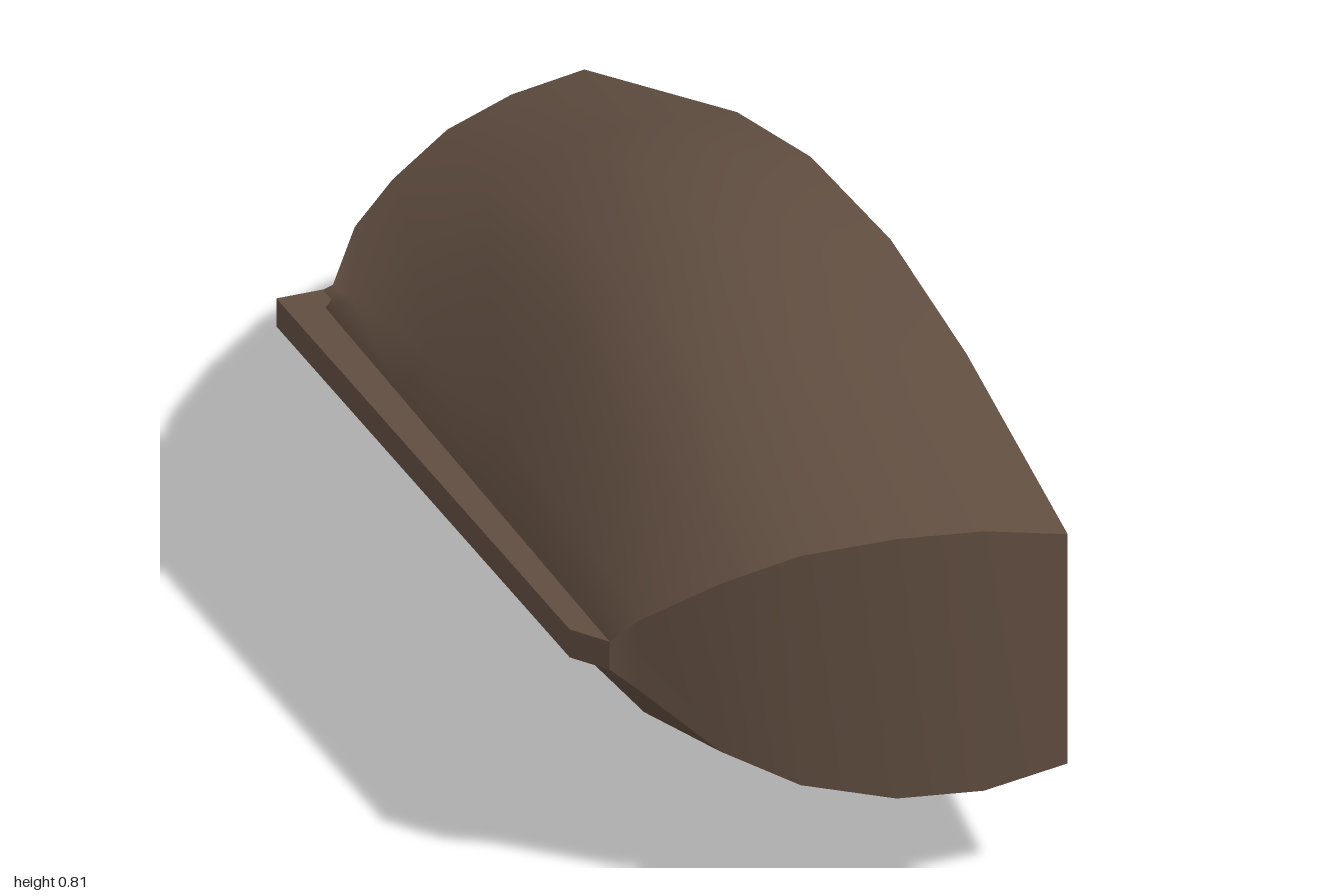
import * as THREE from 'three';

// Boat frame: x runs stern to bow, y across the beam, -z is depth below the gunwale.
const DEPTHS = [0, 0.144, 0.288, 0.437, 0.556, 0.665, 0.71];
const STERN = [0, 0.001, 0.02, 0.066, 0.12, 0.21, 0.224];
const BOW = [2.34, 2.288, 2.195, 2.042, 1.89, 1.69, 1.664];
const STATIONS = [0.49, 0.857, 1.243, 1.6];

// Half beam at each depth: stern, the four stations, bow
const BEAM = [
  [0.205, 0.315, 0.36, 0.34, 0.265, 0.02],
  [0.232, 0.345, 0.4, 0.365, 0.272, 0.02],
  [0.232, 0.35, 0.405, 0.362, 0.262, 0.02],
  [0.205, 0.315, 0.365, 0.315, 0.195, 0.02],
  [0.15, 0.24, 0.27, 0.22, 0.115, 0.02],
  [0.062, 0.1, 0.12, 0.09, 0.035, 0.02],
  [0.025, 0.025, 0.025, 0.025, 0.025, 0.02],
];

// Surface through a grid of points; flat gives each face its own normal
function loft(rows, flat) {
  const n = rows[0].length;
  const index = [];
  for (let i = 0; i < rows.length - 1; i++) {
    for (let j = 0; j < n - 1; j++) {
      const a = i * n + j;
      const b = a + n;
      index.push(a, b, a + 1, b, b + 1, a + 1);
    }
  }
  let geo = new THREE.BufferGeometry();
  geo.setAttribute('position', new THREE.Float32BufferAttribute(rows.flat(2), 3));
  geo.setIndex(index);
  if (flat) geo = geo.toNonIndexed();
  geo.computeVertexNormals();
  return geo;
}

// Closed outline of the gunwale, moved inward and down
function outline(sternInset, bowInset, sideInset, depth) {
  const xs = [sternInset, ...STATIONS, BOW[0] - bowInset];
  const half = xs.map((x, k) => {
    if (k === 0) return BEAM[0][0] - sideInset + sternInset * 0.22;
    if (k === 5) return Math.max(0.012, 0.02 + bowInset * 0.33 - sideInset);
    return BEAM[0][k] - sideInset;
  });
  const port = xs.map((x, k) => [x, half[k], -depth]);
  const starboard = port.map(([x, y, z]) => [x, -y, z]);
  return { port, starboard, loop: [...port, ...starboard.slice().reverse(), port[0]] };
}

export function createModel() {
  const model = new THREE.Group();
  model.name = 'boat';
  const wood = new THREE.MeshStandardMaterial({ color: 0x604d40, side: THREE.DoubleSide });
  wood.name = 'darkWood';

  const boat = new THREE.Group();
  boat.name = 'boatOnItsSide';
  const add = (name, geo) => {
    const mesh = new THREE.Mesh(geo, wood);
    mesh.name = name;
    boat.add(mesh);
  };

  // Hull skin: each section runs from one gunwale under the keel to the other
  const sections = [];
  for (let k = 0; k < 6; k++) {
    const side = DEPTHS.map((t, r) => {
      const x = k === 0 ? STERN[r] : k === 5 ? BOW[r] : STATIONS[k - 1];
      return [x, BEAM[r][k], -t];
    });
    const other = side.map(([x, y, z]) => [x, -y, z]).reverse();
    sections.push([...side, ...other]);
  }
  add('hull', loft(sections, false));

  // Curved transom at the stern and narrow stem at the bow
  const across = (k, sign) => DEPTHS.map((t, r) => {
    const p = sections[k][r];
    return [[p[0], sign * p[1], p[2]], [p[0], -sign * p[1], p[2]]];
  });
  add('transom', loft(across(0, 1), false));
  add('stem', loft(across(5, -1), false));

  // Gunwale rim, sloping inner wall and recessed deck
  const outer = outline(0, 0, 0, 0);
  const inner = outline(0.03, 0.033, 0.025, 0);
  const deck = outline(0.095, 0.09, 0.053, 0.085);
  const ring = (a, b) => loft(a.loop.map((p, i) => [p, b.loop[i]]), true);
  add('gunwale', ring(inner, outer));
  add('innerWall', ring(deck, inner));
  add('deck', loft(deck.port.map((p, i) => [deck.starboard[i], p]), true));

  // Keel bar with raked stern end
  const profile = new THREE.Shape([
    new THREE.Vector2(0.224, -0.69),
    new THREE.Vector2(0.224, -0.71),
    new THREE.Vector2(0.291, -0.755),
    new THREE.Vector2(1.661, -0.773),
    new THREE.Vector2(1.668, -0.69),
  ]);
  const keel = new THREE.ExtrudeGeometry(profile, { depth: 0.05, bevelEnabled: false });
  keel.translate(0, 0, -0.025);
  keel.rotateX(Math.PI / 2);
  add('keel', keel);

  // Lay the boat on its side, deck turned toward the front left
  boat.rotation.y = Math.atan2(0.837, 0.547);
  boat.position.set(-0.405, 0.405, 0.995);
  model.add(boat);
  return model;
}
